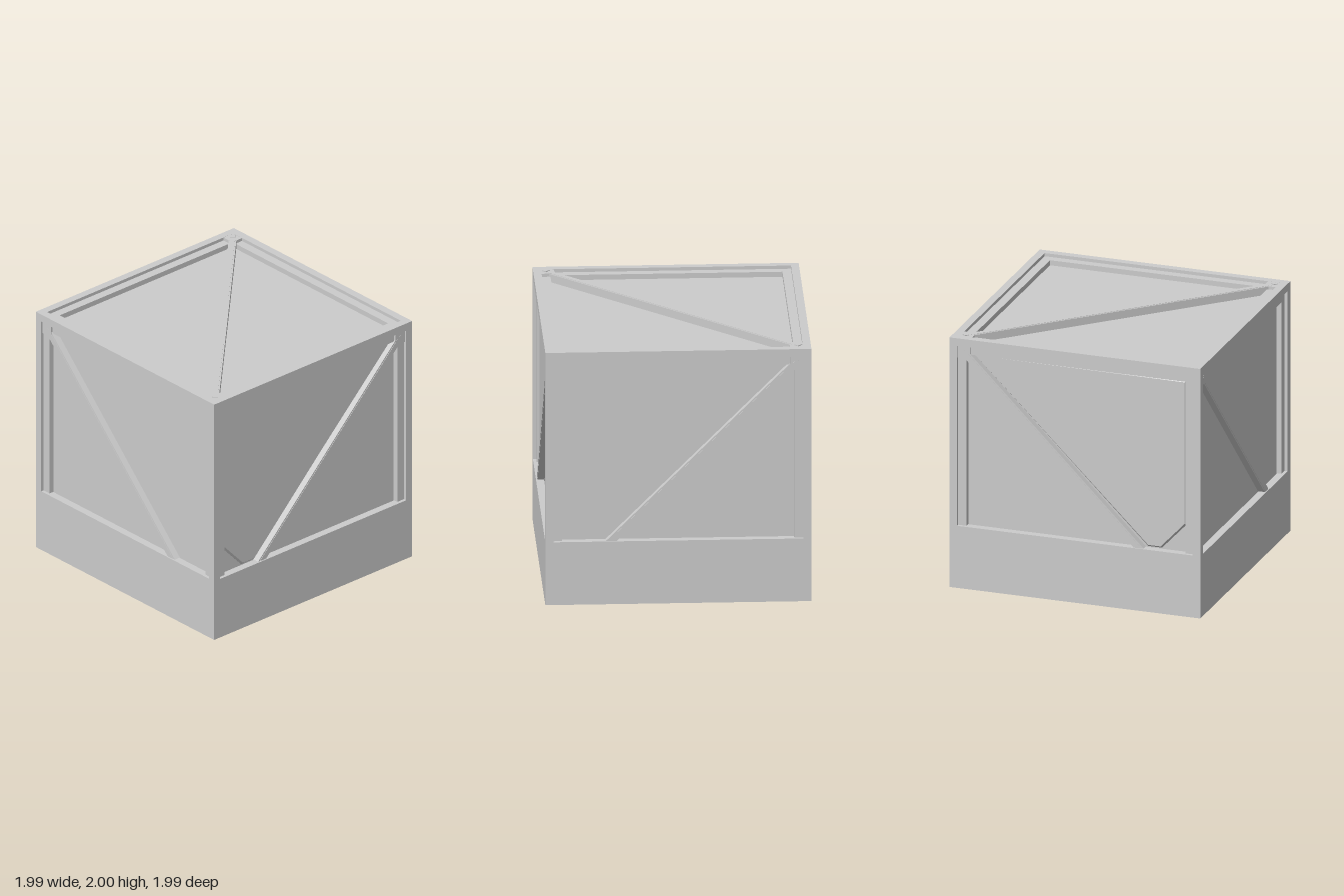
import * as THREE from 'three';

const mat = new THREE.MeshStandardMaterial({ color: 0xcccccc, flatShading: true });
const BODY = 0.995;  // half size of the outer frame
const STEP = 0.97;   // half size of the inner frame step
const PANEL = 0.93;  // half size of the panelled core

function add(parent, name, geometry, x = 0, y = 0, z = 0, roll = 0) {
  const mesh = new THREE.Mesh(geometry, mat);
  mesh.name = name;
  mesh.position.set(x, y, z);
  mesh.rotation.z = roll;
  parent.add(mesh);
  return mesh;
}

// Twelve square beams along the edges of a cube
function edgeFrame(name, half, width) {
  const group = new THREE.Group();
  group.name = name;
  const c = half - width / 2, inner = 2 * (half - width);
  for (const a of [-1, 1]) {
    for (const b of [-1, 1]) {
      add(group, 'crossBeam', new THREE.BoxGeometry(2 * half, width, width), 0, a * c, b * c);
      add(group, 'sideBeam', new THREE.BoxGeometry(width, width, inner), a * c, b * c, 0);
      add(group, 'post', new THREE.BoxGeometry(width, inner, width), a * c, 0, b * c);
    }
  }
  return group;
}

// Diagonal brace with its corner blocks, facing local +z.
// lean = 1 runs to the upper right corner, -1 to the upper left
function brace(name, lean, isEnd) {
  const group = new THREE.Group();
  group.name = name;
  const roll = lean * Math.PI / 4;
  const top = isEnd ? 0.992 : 0.982;
  const blockTop = isEnd ? 0.994 : 0.984;
  add(group, 'braceBar', new THREE.BoxGeometry(2.5, 0.058, top - 0.9), 0, 0, (top + 0.9) / 2, roll);
  add(group, 'braceRidge', new THREE.BoxGeometry(2.54, 0.036, 0.05), 0, 0, top + 0.003 - 0.025, roll);
  for (const e of [-1, 1]) {
    add(group, 'cornerBlock', new THREE.BoxGeometry(0.1, 0.1, blockTop - 0.9),
      e * lean * 0.887, e * 0.887, (blockTop + 0.9) / 2);
    if (isEnd) {
      add(group, 'endPad', new THREE.BoxGeometry(0.036, 0.042, 0.04), e * lean * 0.9, e * 0.9, 0.98, roll);
    }
  }
  return group;
}

// Raised bevelled panel with one clipped corner
function clippedPanel(lean) {
  const pts = [[-0.868, 0.868], [-0.868, -0.28], [-0.67, -0.492], [-0.56, -0.492], [0.82, 0.868]];
  const shape = new THREE.Shape(pts.map(([x, y]) => new THREE.Vector2(x * lean, y)));
  return new THREE.ExtrudeGeometry(shape, {
    depth: 0.01, bevelEnabled: true, bevelSegments: 1,
    bevelSize: 0.014, bevelOffset: -0.014, bevelThickness: 0.015
  });
}

export function createModel() {
  const model = new THREE.Group();
  model.name = 'crate';
  const body = new THREE.Group();
  body.name = 'crateBody';
  body.position.y = 1;
  model.add(body);

  add(body, 'panelCore', new THREE.BoxGeometry(2 * PANEL, 2 * PANEL, 2 * PANEL));
  body.add(edgeFrame('outerFrame', BODY, 0.06));
  body.add(edgeFrame('innerFrame', STEP, 0.102));

  // Solid band around the lower quarter
  const bandHeight = 0.5 - (1 - BODY), bandY = -BODY + bandHeight / 2, wall = BODY - 0.935;
  for (const s of [-1, 1]) {
    add(body, 'lowerBand', new THREE.BoxGeometry(2 * BODY, bandHeight, wall), 0, bandY, s * (BODY - wall / 2));
    add(body, 'lowerBand', new THREE.BoxGeometry(wall, bandHeight, 2 * 0.935), s * (BODY - wall / 2), bandY, 0);
  }

  // Braces: name, tilt about x, turn about y, lean
  const q = Math.PI / 2;
  const faces = [
    ['frontBrace', 0, 0, -1], ['backBrace', 0, Math.PI, 1],
    ['leftBrace', 0, q, 1], ['rightBrace', 0, -q, -1],
    ['topBrace', -q, 0, -1], ['bottomBrace', q, 0, 1]
  ];
  for (const [name, tilt, turn, lean] of faces) {
    const face = brace(name, lean, tilt !== 0);
    face.rotation.set(tilt, turn, 0);
    // Clipped panels on the two sides
    if (Math.abs(turn) === q) add(face, 'clippedPanel', clippedPanel(lean), 0, 0, 0.925);
    body.add(face);
  }
  return model;
}
